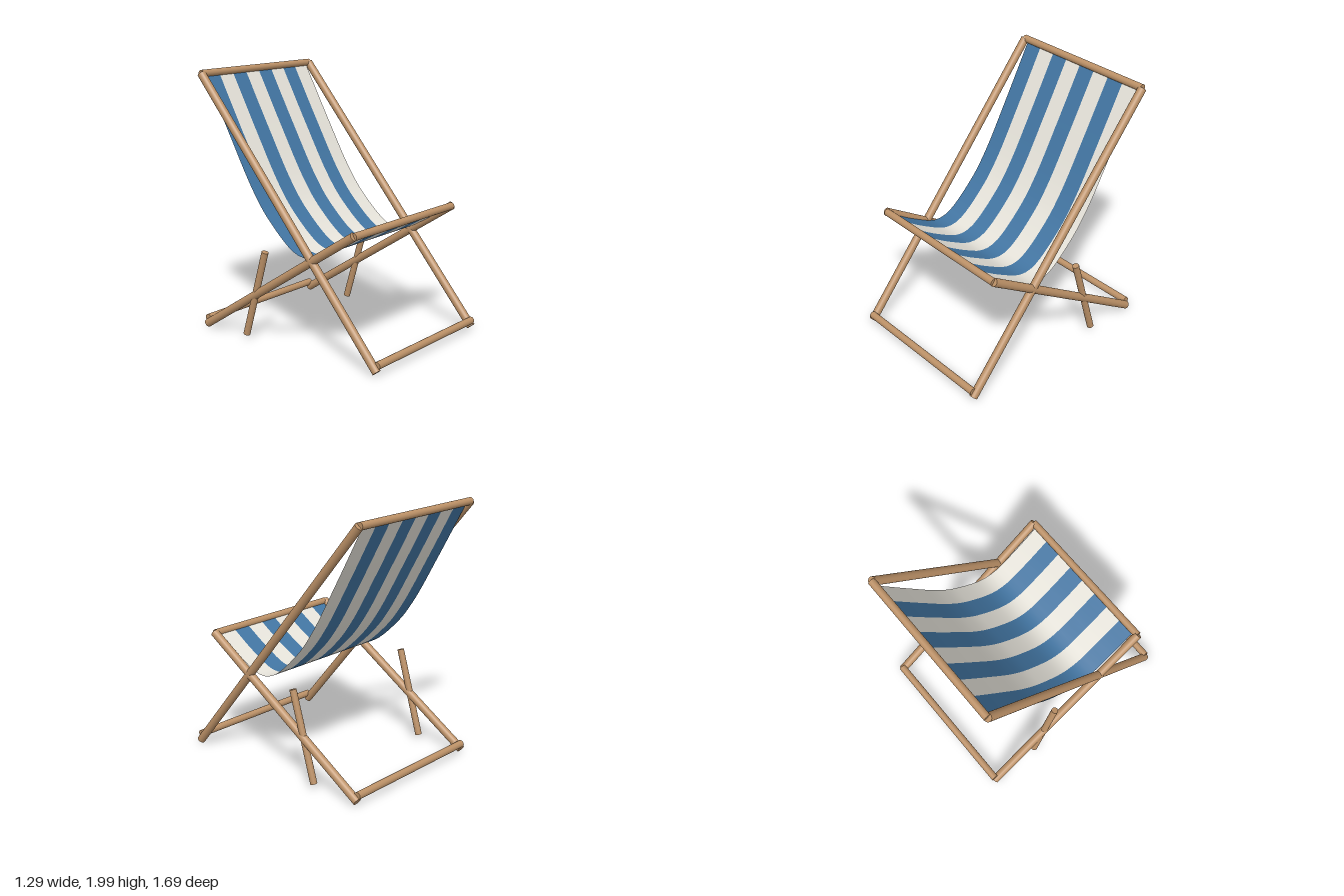
import * as THREE from 'three';

const wood = new THREE.MeshStandardMaterial({ color: 0xbc9167 });
wood.name = 'wood';
const blue = new THREE.MeshStandardMaterial({ color: 0x4275a2, side: THREE.DoubleSide });
blue.name = 'blueCanvas';
const cream = new THREE.MeshStandardMaterial({ color: 0xe6e3da, side: THREE.DoubleSide });
cream.name = 'creamCanvas';

const RAIL_X = 0.612;
const UP = new THREE.Vector3(0, 1, 0);

// Round wooden pole between two points
function pole(name, a, b, radius) {
  const start = new THREE.Vector3(...a);
  const along = new THREE.Vector3(...b).sub(start);
  const mesh = new THREE.Mesh(new THREE.CylinderGeometry(radius, radius, along.length(), 20), wood);
  mesh.name = name;
  mesh.position.copy(start).addScaledVector(along, 0.5);
  mesh.quaternion.setFromUnitVectors(UP, along.normalize());
  return mesh;
}

// One canvas stripe: a strip swept along the sagging profile
function stripe(name, curve, x0, x1, material) {
  const steps = 40;
  const geometry = new THREE.PlaneGeometry(1, 1, 1, steps);
  const pos = geometry.attributes.position;
  const normal = geometry.attributes.normal;
  for (let i = 0; i <= steps; i++) {
    const p = curve.getPointAt(1 - i / steps); // top row first
    const t = curve.getTangentAt(1 - i / steps);
    for (let j = 0; j < 2; j++) {
      pos.setXYZ(i * 2 + j, j ? x1 : x0, p.y, p.z);
      normal.setXYZ(i * 2 + j, 0, -t.z, t.y);
    }
  }
  const mesh = new THREE.Mesh(geometry, material);
  mesh.name = name;
  return mesh;
}

export function createModel() {
  const chair = new THREE.Group();
  chair.name = 'deckChair';

  // Side poles, mirrored left and right
  for (const [side, s] of [['left', 1], ['right', -1]]) {
    const x = s * RAIL_X;
    chair.add(
      pole(side + 'BackRail', [x, 0.027, 0.817], [x, 1.972, -0.815], 0.032),
      pole(side + 'SeatRail', [x, 0.032, -0.818], [x, 0.957, 0.615], 0.032),
      pole(side + 'Strut', [x, 0.035, -0.405], [x, 0.708, -0.205], 0.026),
    );
  }

  // Crossbars
  const bars = [
    ['topBar', 1.972, -0.817],
    ['seatFrontBar', 0.953, 0.612],
    ['frontFootBar', 0.075, 0.817],
    ['rearFootBar', 0.075, -0.817],
  ];
  for (const [name, y, z] of bars) {
    chair.add(pole(name, [-RAIL_X, y, z], [RAIL_X, y, z], 0.028));
  }

  // Striped canvas sling, from the seat front bar up to the top bar
  const profile = new THREE.CatmullRomCurve3([
    [0.953, 0.605], [0.81, 0.38], [0.718, 0.18], [0.735, 0.05],
    [0.945, -0.2], [1.14, -0.35], [1.53, -0.575], [1.96, -0.81],
  ].map(([y, z]) => new THREE.Vector3(0, y, z)));
  const sling = new THREE.Group();
  sling.name = 'canvasSling';
  const count = 8, half = 0.573, width = (2 * half) / count;
  for (let i = 0; i < count; i++) {
    const x0 = -half + i * width;
    sling.add(stripe('stripe' + (i + 1), profile, x0, x0 + width, i % 2 ? cream : blue));
  }
  chair.add(sling);
  return chair;
}
